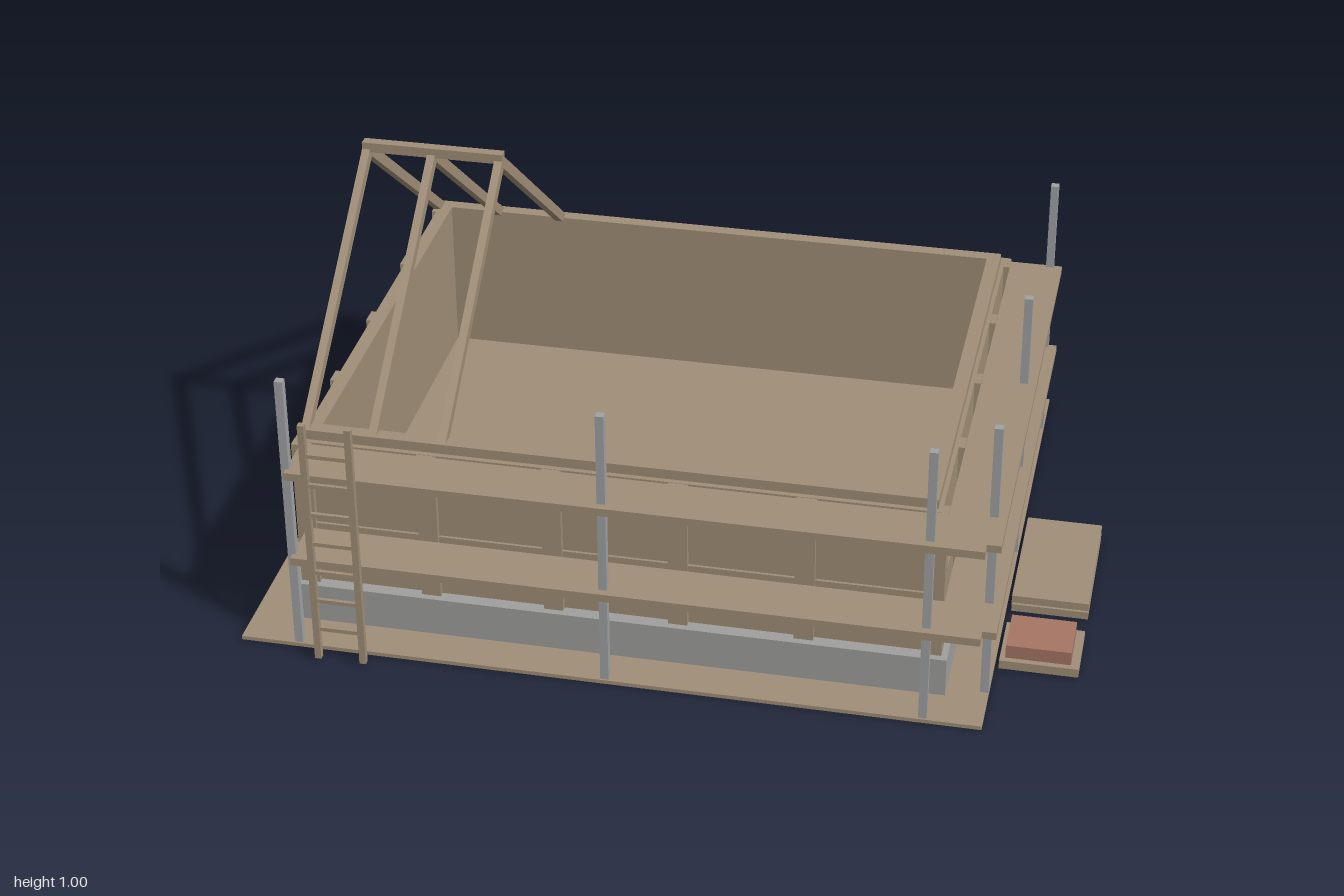
import * as THREE from 'three';

const mat = (name, color) => {
  const m = new THREE.MeshStandardMaterial({ color });
  m.name = name;
  return m;
};

export function createModel() {
  const wood = mat('timber', 0xa08e77);
  const concrete = mat('concrete', 0x9f9f9d);
  const steel = mat('steel', 0x9fa1a3);
  const clay = mat('clay', 0xa57564);
  const model = new THREE.Group();

  const add = (parent, name, geometry, material) => {
    const mesh = new THREE.Mesh(geometry, material);
    mesh.name = name;
    parent.add(mesh);
    return mesh;
  };
  const group = (name) => {
    const g = new THREE.Group();
    g.name = name;
    model.add(g);
    return g;
  };
  // Box given by its limits on each axis
  const box = (parent, name, material, x0, x1, y0, y1, z0, z1) => {
    const mesh = add(parent, name, new THREE.BoxGeometry(x1 - x0, y1 - y0, z1 - z0), material);
    mesh.position.set((x0 + x1) / 2, (y0 + y1) / 2, (z0 + z1) / 2);
    return mesh;
  };
  // Rectangular frame of a given width, lying flat
  const frame = (parent, name, material, x0, x1, y0, y1, z0, z1, w) => {
    const rect = (Type, d) => new Type([
      new THREE.Vector2(x0 + d, -z1 + d), new THREE.Vector2(x1 - d, -z1 + d),
      new THREE.Vector2(x1 - d, -z0 - d), new THREE.Vector2(x0 + d, -z0 - d),
    ]);
    const shape = rect(THREE.Shape, 0);
    shape.holes.push(rect(THREE.Path, w));
    const geo = new THREE.ExtrudeGeometry(shape, { depth: y1 - y0, bevelEnabled: false });
    geo.rotateX(-Math.PI / 2).translate(0, y0, 0);
    return add(parent, name, geo, material);
  };

  // Site, foundation and floor
  box(model, 'ground', wood, -1, 0.8, 0, 0.01, -0.77, 0.725);
  frame(model, 'foundation', concrete, -0.9, 0.7, 0.01, 0.11, -0.66, 0.622, 0.1);
  box(model, 'floor', wood, -0.825, 0.625, 0.1, 0.12, -0.595, 0.54);

  // Walls with mid rail, studs and top plate
  const walls = group('walls');
  frame(walls, 'wallPanels', wood, -0.865, 0.67, 0.11, 0.5, -0.635, 0.59, 0.046);
  frame(walls, 'midRail', wood, -0.872, 0.677, 0.262, 0.277, -0.642, 0.597, 0.02);
  frame(walls, 'topPlate', wood, -0.853, 0.66, 0.5, 0.525, -0.622, 0.577, 0.034);
  const s = 0.0235;
  for (let i = 0; i < 6; i++) {
    const x = -0.857 + i * 0.3035;
    box(walls, 'backStud', wood, x - s, x + s, 0.11, 0.499, -0.65, -0.62);
    box(walls, 'frontStud', wood, x - s, x + s, 0.11, 0.499, 0.575, 0.605);
  }
  for (let i = 0; i < 5; i++) {
    const z = -0.6255 + i * 0.3015;
    box(walls, 'leftSideStud', wood, -0.88, -0.85, 0.11, 0.4985, z - s, z + s);
    box(walls, 'rightSideStud', wood, 0.655, 0.685, 0.11, 0.4985, z - s, z + s);
  }

  // Roof: three rafter pairs and a ridge beam
  const roof = group('roofFrame');
  const mid = -0.022;
  for (const x of [-0.855, -0.69, -0.52]) {
    for (const side of [-1, 1]) {
      const shape = new THREE.Shape([
        new THREE.Vector2(0, 0.955), new THREE.Vector2(0.556 * side, 0.52),
        new THREE.Vector2(0.598 * side, 0.52), new THREE.Vector2(0, 0.99),
      ]);
      const geo = new THREE.ExtrudeGeometry(shape, { depth: 0.02, bevelEnabled: false });
      geo.rotateY(-Math.PI / 2).translate(x + 0.01, 0, mid);
      add(roof, 'rafter', geo, wood);
    }
  }
  box(roof, 'ridgeBeam', wood, -0.865, -0.51, 0.972, 0.997, mid - 0.013, mid + 0.013);

  // Scaffold around the front and one side
  const scaffold = group('scaffold');
  for (const y of [0.246, 0.485]) {
    box(scaffold, 'frontWalkway', wood, -0.855, 0.787, y, y + 0.02, 0.605, 0.739);
    box(scaffold, 'sideWalkway', wood, 0.687, 0.82, y + 0.0005, y + 0.0195, -0.623, 0.707);
  }
  const posts = [
    [-0.857, 0.71], [-0.1, 0.71], [0.66, 0.71],
    [0.789, -0.623], [0.789, -0.021], [0.789, 0.582],
  ];
  for (const [x, z] of posts) {
    box(scaffold, 'scaffoldPost', steel, x - 0.01, x + 0.01, 0.005, 0.74, z - 0.01, z + 0.01);
  }

  // Ladder
  const ladder = group('ladder');
  for (const x of [-0.793, -0.682]) {
    box(ladder, 'ladderRail', wood, x - 0.008, x + 0.008, 0.005, 0.66, 0.755, 0.77);
  }
  for (let i = 0; i < 7; i++) {
    const y = 0.09 + i * 0.081;
    box(ladder, 'ladderRung', wood, -0.786, -0.689, y - 0.005, y + 0.005, 0.758, 0.767);
  }

  // Building supplies beside the house
  const supplies = group('supplies');
  box(supplies, 'lowerBoards', wood, 0.812, 1, 0.002, 0.022, -0.118, 0.236);
  box(supplies, 'upperBoards', wood, 0.812, 1, 0.027, 0.047, -0.118, 0.236);
  box(supplies, 'pallet', wood, 0.81, 1, 0.002, 0.025, 0.318, 0.479);
  box(supplies, 'brickStack', clay, 0.823, 0.98, 0.025, 0.06, 0.334, 0.464);

  return model;
}
